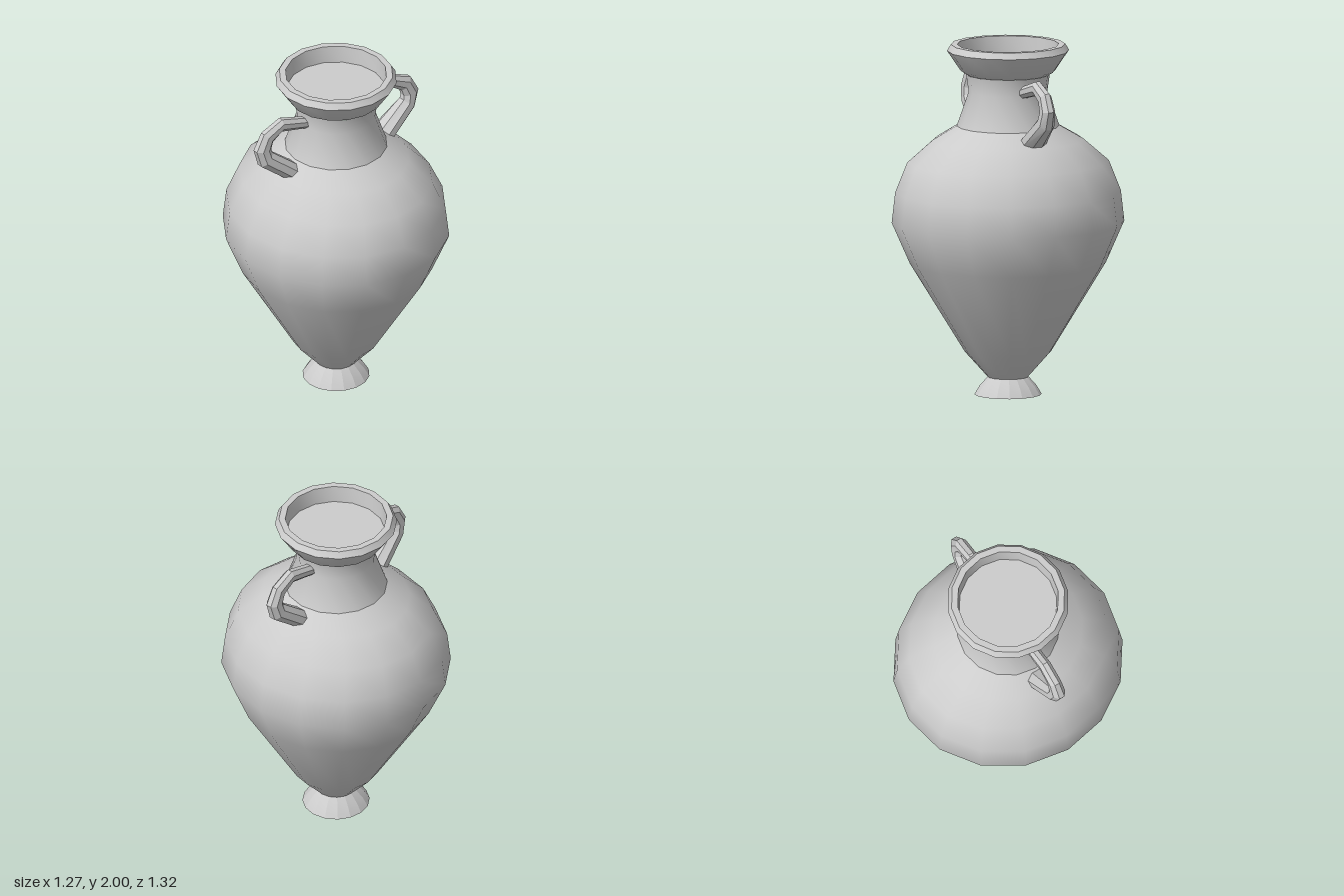
import * as THREE from 'three';
import { toCreasedNormals } from 'three/addons/utils/BufferGeometryUtils.js';

const SIDES = 16;
const material = new THREE.MeshStandardMaterial({ color: 0xcccccc });

// Turned part from rings [depth radius, height, optional width radius]
function turned(name, rings, crease) {
  const geometry = new THREE.LatheGeometry(rings.map(([r, y]) => new THREE.Vector2(r, y)), SIDES);
  const pos = geometry.attributes.position;
  for (let i = 0; i < pos.count; i++) {
    const [rz, , rx = rz] = rings[i % rings.length];
    if (rz > 0) pos.setX(i, pos.getX(i) * rx / rz);
  }
  const mesh = new THREE.Mesh(toCreasedNormals(geometry, crease), material);
  mesh.name = name;
  return mesh;
}

// Capped sweep in the XY plane through sections [x, y, in-plane radius, z radius]
function sweep(sections, sides) {
  const verts = [], index = [], last = sections.length - 1;
  sections.forEach(([x, y, r, rz], i) => {
    const a = sections[Math.max(i - 1, 0)], b = sections[Math.min(i + 1, last)];
    const t = new THREE.Vector2(b[0] - a[0], b[1] - a[1]).normalize();
    for (let j = 0; j < sides; j++) {
      const angle = (j + 0.5) / sides * Math.PI * 2;
      const n = Math.cos(angle) * r;
      verts.push(x - t.y * n, y + t.x * n, Math.sin(angle) * rz);
      if (i < last) {
        const p = i * sides + j, q = i * sides + (j + 1) % sides;
        index.push(p, q, q + sides, p, q + sides, p + sides);
      }
    }
  });
  for (let j = 1; j < sides - 1; j++) {
    index.push(0, j + 1, j);
    index.push(last * sides, last * sides + j, last * sides + j + 1);
  }
  const geometry = new THREE.BufferGeometry();
  geometry.setAttribute('position', new THREE.Float32BufferAttribute(verts, 3));
  geometry.setIndex(index);
  return toCreasedNormals(geometry, 0.35);
}

export function createModel() {
  const vase = new THREE.Group();
  vase.name = 'vase';

  // Flared foot with a closed underside
  vase.add(turned('foot', [[0, 0], [0.19, 0], [0.16, 0.05], [0.115, 0.1]], 0.25));

  // Belly, slightly deeper than wide
  vase.add(turned('body', [
    [0.115, 0.1], [0.245, 0.245], [0.557, 0.75, 0.54], [0.662, 0.985, 0.633],
    [0.642, 1.16, 0.612], [0.577, 1.33, 0.53], [0.43, 1.455, 0.405], [0.29, 1.535],
  ], 0.7));

  // Waisted neck
  vase.add(turned('neck', [[0.29, 1.535], [0.222, 1.73], [0.237, 1.83]], 0.7));

  // Flared lip with a shallow recessed floor
  vase.add(turned('lip', [
    [0.235, 1.83], [0.268, 1.85], [0.345, 1.965], [0.323, 2],
    [0.287, 2], [0.278, 1.9], [0, 1.9],
  ], 0.6));

  // Pair of handles, widening towards the shoulder
  const handle = sweep([
    [0.2, 1.75, 0.034, 0.034],
    [0.39, 1.803, 0.042, 0.036],
    [0.485, 1.755, 0.05, 0.038],
    [0.518, 1.685, 0.055, 0.042],
    [0.5, 1.62, 0.055, 0.05],
    [0.33, 1.482, 0.055, 0.078],
  ], 8);
  for (const [name, turn] of [['leftHandle', 0], ['rightHandle', Math.PI]]) {
    const mesh = new THREE.Mesh(handle, material);
    mesh.name = name;
    mesh.rotation.y = turn;
    vase.add(mesh);
  }
  return vase;
}
